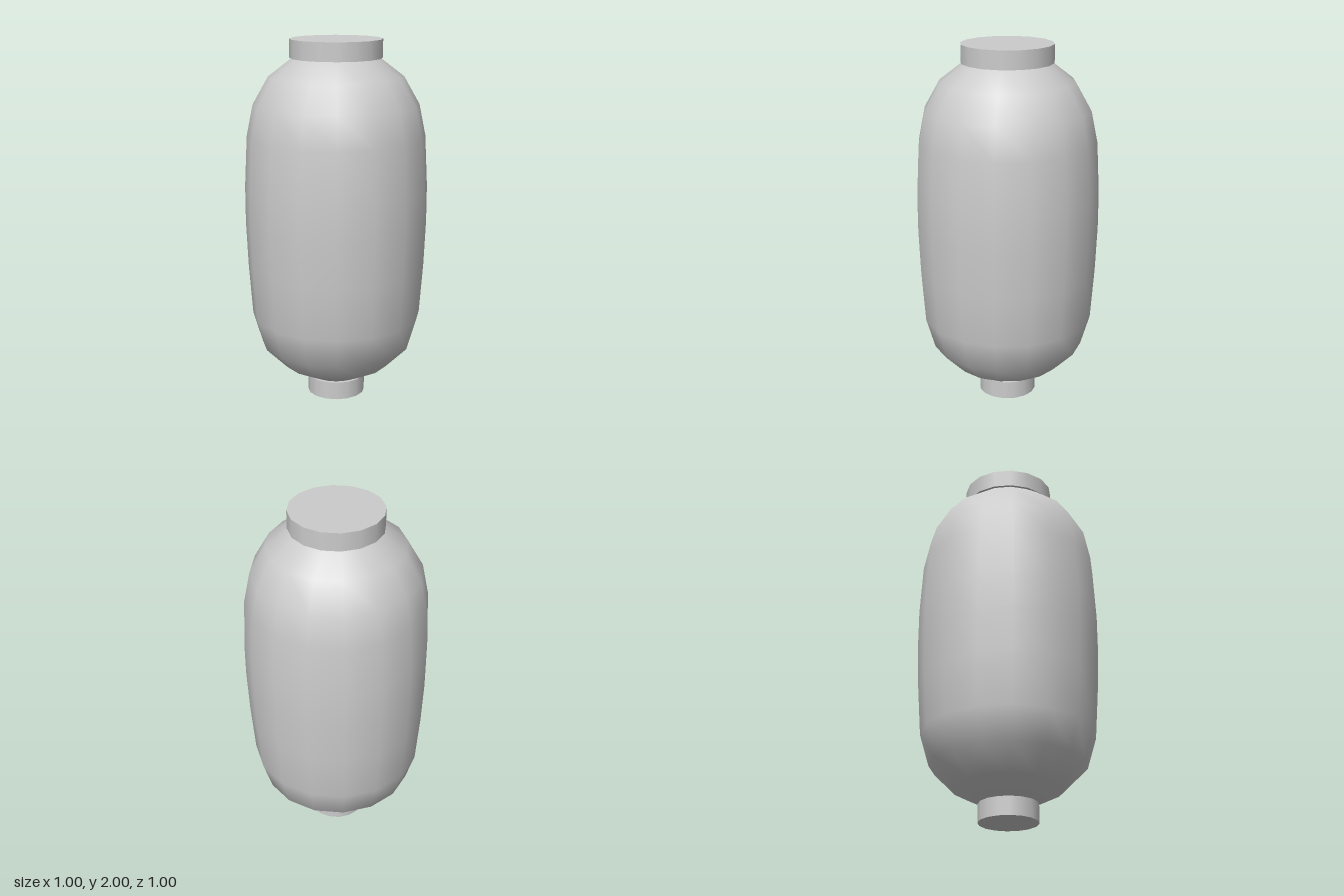
import * as THREE from 'three';

const SIDES = 16;

export function createModel() {
  const group = new THREE.Group();
  const material = new THREE.MeshStandardMaterial({ color: 0xcccccc });

  const add = (name, geometry, y = 0) => {
    const mesh = new THREE.Mesh(geometry, material);
    mesh.name = name;
    mesh.position.y = y;
    group.add(mesh);
  };

  // Rounded lantern body: radius and height, from bottom to top
  const profile = [
    [0.14, 0.1], [0.3, 0.18], [0.42, 0.3], [0.47, 0.47], [0.49, 0.75],
    [0.5, 1.0], [0.5, 1.2], [0.485, 1.48], [0.45, 1.65], [0.365, 1.8], [0.235, 1.9],
  ].map(([r, y]) => new THREE.Vector2(r, y));
  add('body', new THREE.LatheGeometry(profile, SIDES));

  // Wide ring on top, narrow ring below
  add('topCap', new THREE.CylinderGeometry(0.25, 0.25, 0.1, SIDES), 1.95);
  add('bottomCap', new THREE.CylinderGeometry(0.16, 0.16, 0.1, SIDES), 0.05);

  return group;
}
